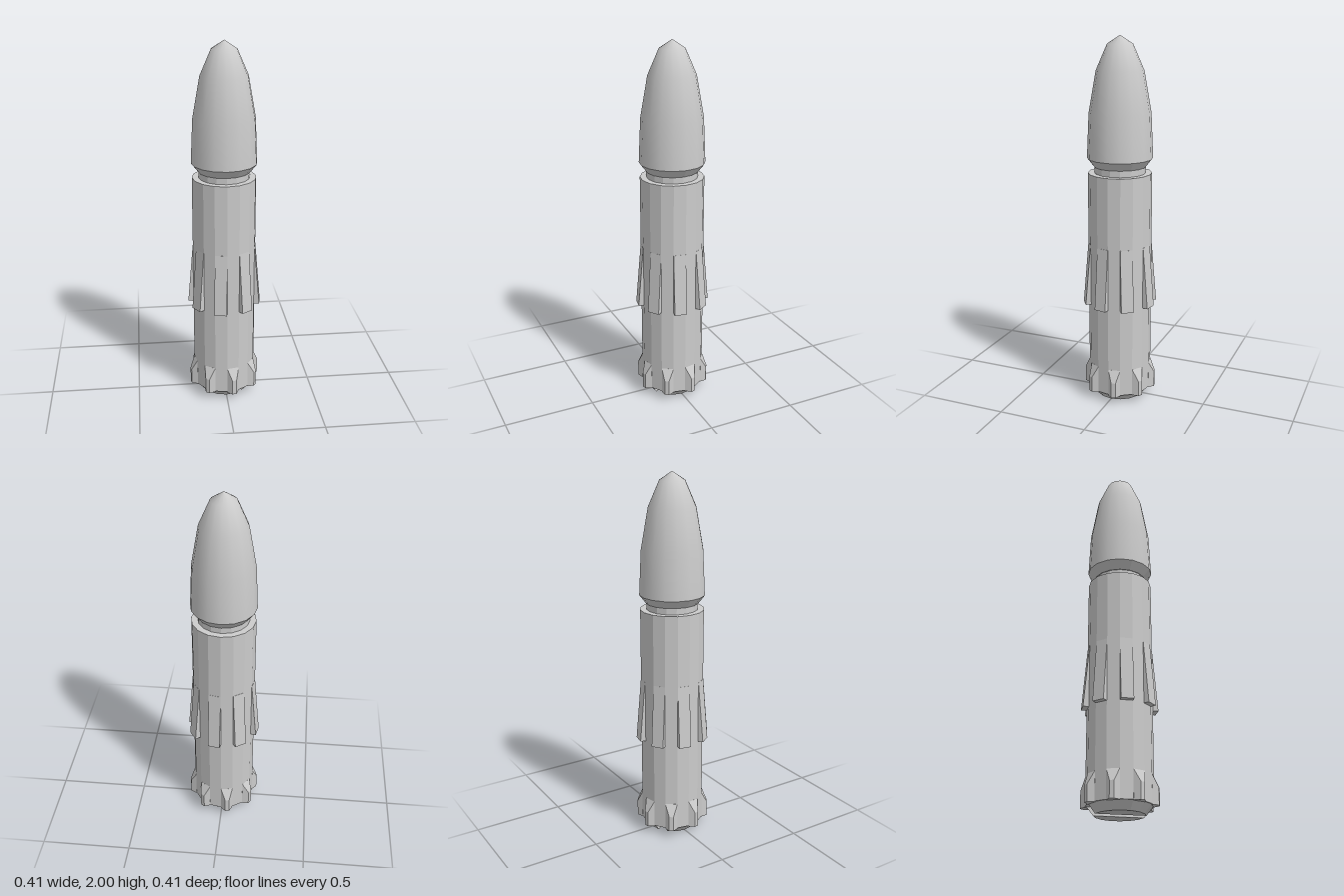
import * as THREE from 'three';
import { ConvexGeometry } from 'three/addons/geometries/ConvexGeometry.js';

const SIDES = 16, STEP = Math.PI * 2 / SIDES;
const BODY_R = 0.173;

export function createModel() {
  const group = new THREE.Group();
  const smooth = new THREE.MeshStandardMaterial({ color: 0xcccccc });
  const flat = new THREE.MeshStandardMaterial({ color: 0xcccccc, flatShading: true });

  const add = (name, geometry, material = flat) => {
    const mesh = new THREE.Mesh(geometry, material);
    mesh.name = name;
    group.add(mesh);
    return mesh;
  };
  const drum = (name, rTop, rBottom, y0, y1) => {
    const g = new THREE.CylinderGeometry(rTop, rBottom, y1 - y0, SIDES);
    g.translate(0, (y0 + y1) / 2, 0);
    return add(name, g);
  };
  // Convex solid from [x, y, z] points mirrored in x
  const mirroredHull = (points) => new ConvexGeometry(
    points.flatMap(([x, y, z]) => [new THREE.Vector3(x, y, z), new THREE.Vector3(-x, y, z)]));

  // Barrel, neck and nose collar
  drum('body', BODY_R, BODY_R, 0.045, 1.28);
  drum('neck', 0.138, 0.138, 1.27, 1.33);
  drum('noseCollar', 0.177, 0.142, 1.315, 1.36);

  // Smooth pointed nose
  const profile = [[0.177, 1.36], [0.166, 1.6], [0.127, 1.82], [0.068, 1.955], [0, 2]]
    .map(([r, y]) => new THREE.Vector2(r, y));
  add('nose', new THREE.LatheGeometry(profile, SIDES), smooth);

  // Tapered strips and bevelled foot lugs on alternating faces
  const half = BODY_R * Math.sin(STEP / 2), inner = 0.165;
  const strip = mirroredHull([
    [half, 0.89, inner], [half, 0.89, 0.1705],
    [half, 0.547, inner], [half, 0.547, 0.2],
  ]);
  const lug = mirroredHull([
    [half, 0.195, inner], [half, 0.195, 0.17],
    [half, 0.042, inner], [half, 0.042, 0.17],
    [0.012, 0.13, 0.2], [0.012, 0.042, 0.2],
  ]);
  for (let i = 0; i < SIDES / 2; i++) {
    add('lug', lug).rotation.y = (2 * i + 0.5) * STEP;
    add('strip', strip).rotation.y = (2 * i + 1.5) * STEP;
  }

  // Chamfered base in two halves with a slot between them
  for (const side of [0, 1]) {
    const points = [];
    for (let k = 0; k < SIDES / 2; k++) {
      const a = (k + 0.5) * STEP;
      for (const [r, y] of [[0.168, 0.046], [0.132, 0]]) {
        points.push(new THREE.Vector3(r * Math.sin(a), y, r * Math.cos(a)));
      }
    }
    add('baseHalf', new ConvexGeometry(points)).rotation.y = 1.5 * STEP + side * Math.PI;
  }
  return group;
}
